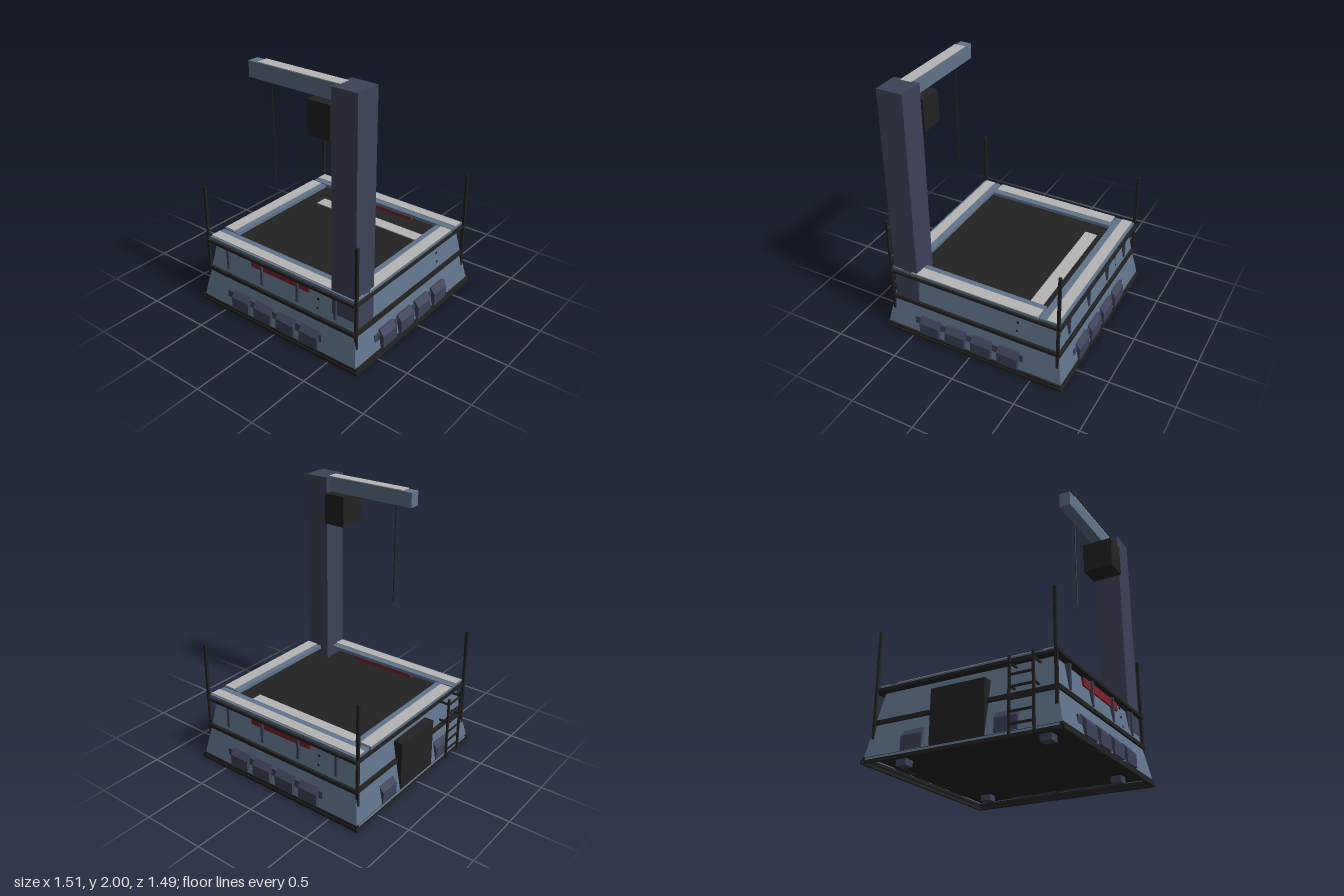
import * as THREE from 'three';

const mat = (name, color, extra = {}) => Object.assign(new THREE.MeshStandardMaterial({ color, ...extra }), { name });

export function createModel() {
  const blue = mat('steel blue', 0x5f748c, { side: THREE.DoubleSide });
  const slate = mat('dark slate', 0x3e4259);
  const black = mat('black', 0x222222);
  const grey = mat('light grey', 0xb5b5b5);
  const red = mat('dark red', 0x7f202b);

  const model = new THREE.Group();
  const add = (name, geo, m, parent = model) => {
    const mesh = new THREE.Mesh(geo, m);
    mesh.name = name;
    parent.add(mesh);
    return mesh;
  };
  // Box given by its minimum and maximum on each axis
  const box = (name, m, x0, x1, y0, y1, z0, z1, parent = model) => {
    const b = add(name, new THREE.BoxGeometry(x1 - x0, y1 - y0, z1 - z0), m, parent);
    b.position.set((x0 + x1) / 2, (y0 + y1) / 2, (z0 + z1) / 2);
    return b;
  };
  // A side group whose local +z points out of the wall: front, right, back, left
  const side = (name, turn) => {
    const g = new THREE.Group();
    g.name = name;
    g.rotation.y = turn * Math.PI / 2;
    model.add(g);
    return g;
  };
  // Four-sided sloping wall without caps
  const slopedWall = (name, y0, h0, y1, h1) => {
    const geo = new THREE.CylinderGeometry(h1 * Math.SQRT2, h0 * Math.SQRT2, y1 - y0, 4, 1, true);
    geo.rotateY(Math.PI / 4);
    const m = new THREE.MeshStandardMaterial();
    m.dispose();
    add(name, geo.toNonIndexed(), blue).position.y = (y0 + y1) / 2;
    const last = model.children[model.children.length - 1];
    last.geometry.computeVertexNormals();
  };

  // Hull
  slopedWall('lowerWall', 0.01, 0.737, 0.3, 0.683);
  slopedWall('upperWall', 0.3, 0.683, 0.53, 0.645);
  box('underside', black, -0.71, 0.71, 0.05, 0.07, -0.71, 0.71);
  box('deck', black, -0.65, 0.65, 0.44, 0.46, -0.65, 0.65);
  box('deckStrip', grey, -0.5, 0.49, 0.46, 0.467, -0.45, -0.35);
  for (const x of [-0.54, 0.54]) for (const z of [-0.54, 0.54])
    box('foot', slate, x - 0.04, x + 0.04, 0.005, 0.06, z - 0.04, z + 0.04);

  // Storage box profile, extruded along the wall
  const profile = new THREE.Shape([[-0.66, 0.05], [-0.745, 0.05], [-0.745, 0.145], [-0.71, 0.19], [-0.66, 0.19]]
    .map(p => new THREE.Vector2(...p)));
  const crateGeo = new THREE.ExtrudeGeometry(profile, { depth: 0.165, bevelEnabled: false });
  crateGeo.translate(0, 0, -0.0825);
  crateGeo.rotateY(Math.PI / 2);

  const crateRows = [
    [-0.343, -0.123, 0.097, 0.317], [-0.352, -0.132, 0.088, 0.308],
    [-0.357, -0.137, 0.083, 0.303], [-0.35, 0.35],
  ];
  ['front', 'right', 'back', 'left'].forEach((name, i) => {
    const g = side(name + 'Side', i);
    // Base trim and horizontal rails
    const shift = i === 1 ? 0.007 : i === 3 ? -0.007 : 0;
    box('baseTrim', black, -0.745, 0.745, 0, 0.025, 0.728, 0.745 + shift, g);
    box('baseTrimStep', black, -0.737, 0.737, 0.025, 0.045, 0.715, 0.738 + shift, g);
    box('lowerRail', black, -0.7, 0.7, 0.27, 0.3, 0.675, 0.705, g);
    box('upperRail', black, -0.7, 0.7, 0.508, 0.53, 0.64, 0.705, g);
    // Storage boxes on a backing panel
    for (const x of crateRows[i]) add('storageBox', crateGeo, slate, g).position.set(x, 0, shift);
    if (i < 3) box('backingPanel', slate, -0.49, 0.42, 0.05, 0.17, 0.68, 0.718, g);
    // Bolts
    if (i < 3) for (const y of [0.35, 0.42, 0.49])
      box('bolt', black, 0.347, 0.363, y - 0.008, y + 0.008, 0.64, 0.684 - (y - 0.3) * 0.13, g);
    // Struts and red light bar on front and back
    if (i % 2 === 0) {
      for (const x of [-0.505, -0.165, 0.175, 0.515])
        box('strut', slate, x - 0.009, x + 0.009, 0.33, 0.51, 0.64, 0.688, g);
      box('lightBar', red, -0.275, 0.275, 0.44, 0.5, 0.59, 0.672, g);
    }
  });

  // Corner posts
  for (const x of [-0.7, 0.7]) for (const z of [-0.685, 0.685])
    box('cornerPost', black, x - 0.01, x + 0.01, 0.17, 0.965, z - 0.01, z + 0.01);

  // Rim and its walkway strips
  for (const s of [-1, 1]) {
    const z = [s * 0.535, s * 0.685].sort((a, b) => a - b);
    const zs = [s * 0.588, s * 0.668].sort((a, b) => a - b);
    const x = [s * 0.55, s * 0.69].sort((a, b) => a - b);
    const xs = [s * 0.598, s * 0.688].sort((a, b) => a - b);
    box('rimAcross', blue, -0.685, 0.685, 0.525, 0.55, ...z);
    box('walkwayAcross', grey, -0.683, 0.683, 0.55, 0.556, ...zs);
    box('rimAlong', blue, ...x, 0.525, 0.55, -0.525, 0.525);
    box('walkwayAlong', grey, ...xs, 0.55, 0.556, -0.52, 0.515);
  }

  // Door and ladder on the left-hand wall
  box('door', black, -0.735, -0.66, 0.045, 0.43, -0.21, 0.2);
  for (const z of [0.385, 0.555])
    box('ladderRail', black, -0.76, -0.745, 0.01, 0.53, z - 0.008, z + 0.008);
  for (let y = 0.08; y < 0.53; y += 0.08)
    box('ladderRung', black, -0.757, -0.747, y - 0.007, y + 0.007, 0.385, 0.555);
  for (const y of [0.33, 0.485]) for (const z of [0.385, 0.555])
    box('ladderBracket', black, -0.75, -0.64, y - 0.007, y + 0.007, z - 0.006, z + 0.006);

  // Crane
  box('craneTower', slate, 0.48, 0.683, 0.3, 1.997, 0.47, 0.672);
  box('craneArm', blue, -0.26, 0.5, 1.88, 1.993, 0.525, 0.61);
  box('armStrip', grey, -0.18, 0.5, 1.993, 2, 0.525, 0.61);
  box('winch', black, 0.302, 0.482, 1.64, 1.88, 0.452, 0.685);
  add('cable', new THREE.CylinderGeometry(0.005, 0.005, 0.8, 8), black).position.set(-0.1, 1.49, 0.567);

  return model;
}
